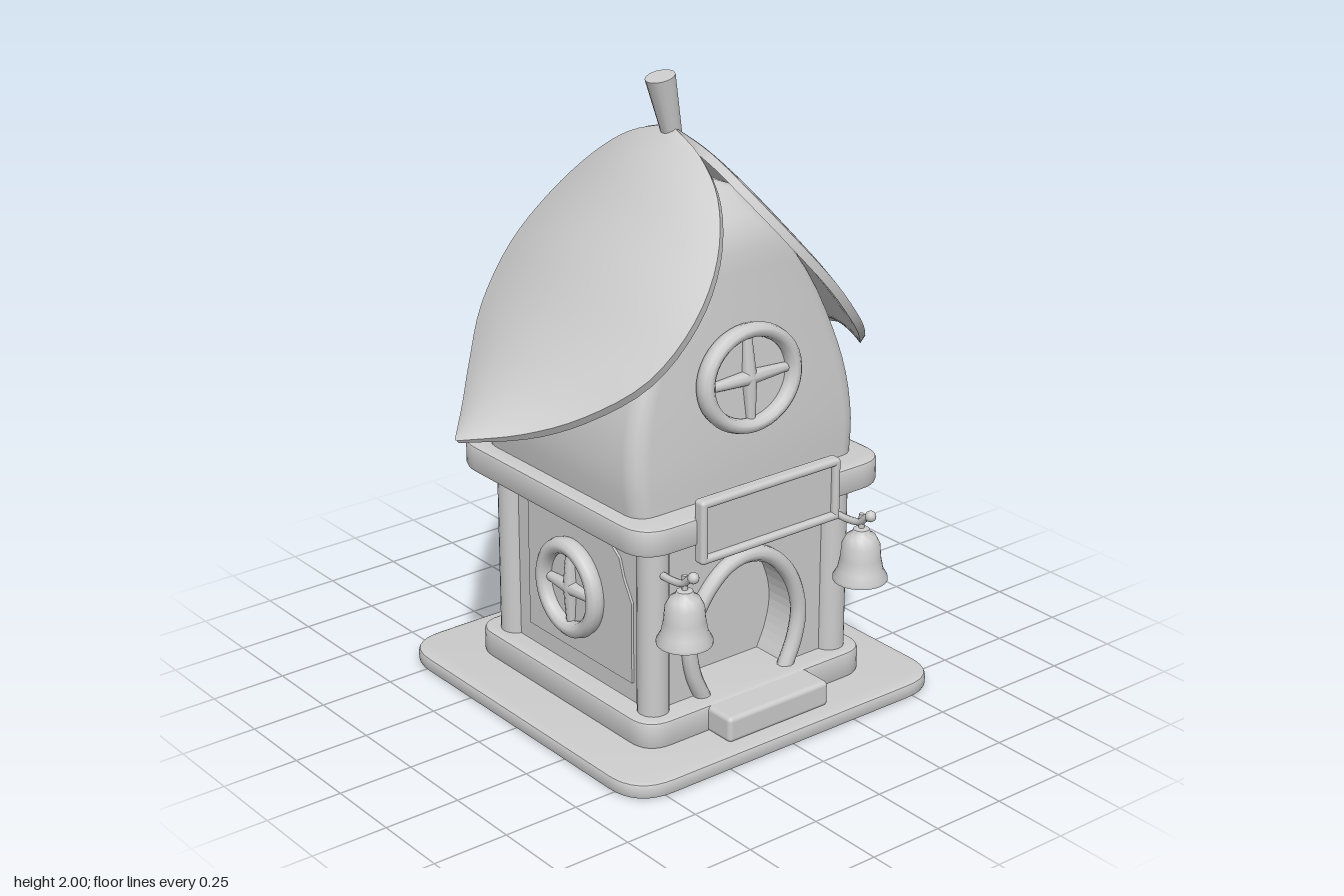
import * as THREE from 'three';
import { RoundedBoxGeometry } from 'three/addons/geometries/RoundedBoxGeometry.js';
import { toCreasedNormals } from 'three/addons/utils/BufferGeometryUtils.js';

const clay = new THREE.MeshStandardMaterial({ color: 0xcccccc });
clay.name = 'pale grey';
const V = (x, y, z = 0) => new THREE.Vector3(x, y, z);

function add(parent, name, geo, x = 0, y = 0, z = 0) {
  const m = new THREE.Mesh(geo, clay);
  m.name = name;
  m.position.set(x, y, z);
  parent.add(m);
  return m;
}

// Horizontal slab with rounded corners and softened edges
function slab(w, d, h, r, b = 0.012) {
  const x = w / 2 - b, y = d / 2 - b, s = new THREE.Shape();
  s.moveTo(-x + r, -y);
  s.lineTo(x - r, -y); s.quadraticCurveTo(x, -y, x, -y + r);
  s.lineTo(x, y - r); s.quadraticCurveTo(x, y, x - r, y);
  s.lineTo(-x + r, y); s.quadraticCurveTo(-x, y, -x, y - r);
  s.lineTo(-x, -y + r); s.quadraticCurveTo(-x, -y, -x + r, -y);
  const g = new THREE.ExtrudeGeometry(s, {
    depth: h - 2 * b, bevelSize: b, bevelThickness: b, bevelSegments: 2, curveSegments: 8 });
  g.rotateX(-Math.PI / 2).translate(0, b, 0);
  return toCreasedNormals(g, 0.6);
}

// Skin over rows of closed loops
function loft(rows, crease) {
  const n = rows[0].length, idx = [];
  for (let i = 0; i < rows.length - 1; i++) for (let j = 0; j < n; j++) {
    const a = i * n + j, b = i * n + (j + 1) % n;
    idx.push(a, b, a + n, b, b + n, a + n);
  }
  const g = new THREE.BufferGeometry().setFromPoints(rows.flat());
  g.setIndex(idx);
  return toCreasedNormals(g, crease);
}

// Upper storey: rounded rectangles that narrow towards the ridge
function upperStorey() {
  const curve = new THREE.CatmullRomCurve3([
    V(0.43, 0.78, 0.395), V(0.44, 0.9, 0.39), V(0.425, 1.05, 0.378), V(0.38, 1.2, 0.365),
    V(0.285, 1.4, 0.35), V(0.15, 1.58, 0.33), V(0.06, 1.69, 0.24)]);
  const rows = [];
  const ring = (w, y, d) => {
    const r = Math.min(0.06, w * 0.5), row = [];
    for (let q = 0; q < 4; q++) for (let k = 0; k <= 4; k++) {
      const a = (q + k / 4) * Math.PI / 2;
      const sx = q === 0 || q === 3 ? 1 : -1, sz = q < 2 ? 1 : -1;
      row.push(V(sx * (w - r) + r * Math.cos(a), y, -sz * (d - r) - r * Math.sin(a)));
    }
    return row;
  };
  for (let i = 0; i <= 18; i++) { const p = curve.getPoint(i / 18); rows.push(ring(p.x, p.y, p.z)); }
  rows.push(ring(0.002, 1.71, 0.15));
  return loft(rows, 0.7);
}

// Roof leaf: centre line and drooping rim, joined by an arched section
function leafGeometry() {
  const mid = new THREE.CatmullRomCurve3([
    V(0, 1.835), V(0.05, 1.79), V(0.12, 1.72), V(0.22, 1.6), V(0.33, 1.47),
    V(0.47, 1.29), V(0.6, 1.15), V(0.7, 1.075), V(0.8, 1.02)]);
  const rim = new THREE.CatmullRomCurve3([
    V(0, 1.835, 0.01), V(0.022, 1.78, 0.17), V(0.06, 1.69, 0.3), V(0.15, 1.55, 0.41), V(0.27, 1.4, 0.457),
    V(0.41, 1.24, 0.42), V(0.55, 1.12, 0.29), V(0.67, 1.055, 0.155), V(0.8, 1.02, 0.005)]);
  const rows = [], N = 16;
  for (let i = 0; i <= 32; i++) {
    const c = mid.getPoint(i / 32), e = rim.getPoint(i / 32), top = [], under = [];
    const th = 0.028 * Math.min(1, 0.4 + (32 - i) / 8);
    for (let j = 0; j <= N; j++) {
      const v = j / N * 2 - 1;
      const p = V(c.x + (e.x - c.x) * v * v, c.y + (e.y - c.y) * v * v, e.z * v);
      top.push(p);
      under.unshift(V(Math.max(p.x - th * 0.6, 0), p.y - th * 0.8, p.z * 0.985));
    }
    rows.push([...top, ...under]);
  }
  return loft(rows, 0.9);
}

// Round window with a cross, facing +z
function roundWindow(rx, ry) {
  const g = new THREE.Group(), t = 0.026;
  g.name = 'roundWindow';
  const ring = add(g, 'windowRing', new THREE.TorusGeometry(1 - t / rx, t / rx, 10, 40));
  ring.scale.set(rx, ry, rx * 1.25);
  const pane = add(g, 'windowPane', new THREE.CylinderGeometry(1, 1, 0.008, 40).rotateX(Math.PI / 2), 0, 0, -0.012);
  pane.scale.set(rx - t, ry - t, 1);
  // bars are thickest where they meet
  for (let k = 0; k < 4; k++) {
    const len = (k % 2 ? rx : ry) - t;
    const bar = new THREE.CylinderGeometry(0.014, 0.025, len, 8).translate(0, len / 2, 0).rotateZ(k * Math.PI / 2);
    add(g, 'windowBar', bar, 0, 0, -0.004);
  }
  return g;
}

// Bell on a curled bracket
function bell() {
  const g = new THREE.Group();
  g.name = 'bell';
  const profile = [[0.001, 0.45], [0.07, 0.435], [0.086, 0.425], [0.086, 0.435], [0.072, 0.46], [0.064, 0.5],
    [0.06, 0.545], [0.046, 0.572], [0.03, 0.582], [0.025, 0.595], [0.001, 0.6]].map(p => new THREE.Vector2(...p));
  add(g, 'bellBody', toCreasedNormals(new THREE.LatheGeometry(profile, 28), 0.7), 0, 0, 0.518);
  add(g, 'clapper', new THREE.SphereGeometry(0.026, 14, 10), 0, 0.44, 0.518);
  add(g, 'bellLoop', new THREE.CylinderGeometry(0.009, 0.009, 0.06, 8), 0, 0.615, 0.518);
  const path = new THREE.CatmullRomCurve3([V(0, 0.605, 0.38), V(0, 0.605, 0.46), V(0, 0.615, 0.51), V(0, 0.64, 0.54), V(0, 0.65, 0.56)]);
  add(g, 'bracket', new THREE.TubeGeometry(path, 20, 0.012, 8));
  add(g, 'bracketKnob', new THREE.SphereGeometry(0.018, 12, 8), 0, 0.65, 0.558);
  return g;
}

export function createModel() {
  const house = new THREE.Group();
  house.name = 'leafRoofHouse';

  // Base, plinth, door step and floor band
  add(house, 'groundSlab', slab(1.23, 1.24, 0.05, 0.13));
  add(house, 'plinth', slab(0.89, 0.91, 0.09, 0.08), 0, 0.045, 0);
  add(house, 'doorStep', new RoundedBoxGeometry(0.4, 0.085, 0.13, 3, 0.015), -0.01, 0.089, 0.492);
  add(house, 'floorBand', slab(0.97, 0.97, 0.088, 0.1), 0, 0.704, 0);

  // Lower storey: solid core and a front wall with a doorway
  add(house, 'lowerCore', new THREE.BoxGeometry(0.74, 0.59, 0.62), 0, 0.42, -0.065);
  const arch = new THREE.CatmullRomCurve3([
    V(-0.175, 0.125), V(-0.215, 0.22), V(-0.228, 0.32), V(-0.19, 0.44), V(-0.1, 0.535), V(-0.01, 0.56),
    V(0.08, 0.535), V(0.17, 0.44), V(0.208, 0.32), V(0.195, 0.22), V(0.155, 0.125)]);
  const wall = new THREE.Shape();
  wall.moveTo(-0.37, 0.125);
  arch.getPoints(40).forEach(p => wall.lineTo(p.x, p.y));
  wall.lineTo(0.37, 0.125); wall.lineTo(0.37, 0.715); wall.lineTo(-0.37, 0.715);
  add(house, 'frontWall', new THREE.ExtrudeGeometry(wall, { depth: 0.13, bevelEnabled: false }), 0, 0, 0.245);
  add(house, 'doorFrame', new THREE.TubeGeometry(arch, 60, 0.026, 10), 0, 0, 0.385);

  // Corner posts
  for (const x of [-0.355, 0.355]) for (const z of [-0.35, 0.366])
    add(house, 'cornerPost', new THREE.CylinderGeometry(0.05, 0.05, 0.6, 20), x, 0.42, z);

  // Worn plaster panels and round windows on the sides and back
  const plaster = new THREE.Shape([[-0.24, 0.2], [0.29, 0.2], [0.29, 0.47], [0.25, 0.54], [0.23, 0.6],
    [0.17, 0.645], [-0.24, 0.645]].map(p => new THREE.Vector2(...p)));
  for (const [angle, out] of [[Math.PI / 2, 0.37], [-Math.PI / 2, 0.37], [Math.PI, 0.375]]) {
    const side = new THREE.Group();
    side.name = 'lowerSide';
    side.rotation.y = angle;
    add(side, 'plasterPanel', new THREE.ExtrudeGeometry(plaster, { depth: 0.008, bevelEnabled: false }), 0, 0, out);
    const win = roundWindow(0.157, 0.165);
    win.position.set(0, 0.42, out + 0.025 + (angle === Math.PI ? 0.02 : 0));
    side.add(win);
    house.add(side);
  }

  // Upper storey with front and back windows
  add(house, 'upperStorey', upperStorey());
  for (const s of [1, -1]) {
    const holder = new THREE.Group(), win = roundWindow(0.195, 0.17);
    holder.name = 'upperWindow';
    win.position.set(-0.01 * s, 1.145, 0.395);
    win.rotation.x = -0.08;
    holder.add(win);
    if (s < 0) holder.rotation.y = Math.PI;
    house.add(holder);
  }

  // Leaf roof and stem
  const leaf = leafGeometry();
  add(house, 'leftLeaf', leaf);
  add(house, 'rightLeaf', leaf).rotation.y = Math.PI;
  const stem = add(house, 'stem', toCreasedNormals(new THREE.CylinderGeometry(0.047, 0.031, 0.19, 14), 0.7), -0.014, 1.896, 0);
  stem.rotation.z = 0.24;

  // Sign board with a raised border
  const sign = new THREE.Group();
  sign.name = 'signBoard';
  sign.position.set(-0.01, 0.75, 0.49);
  add(sign, 'signPanel', new THREE.BoxGeometry(0.52, 0.18, 0.02), 0, 0, -0.006);
  for (const s of [-1, 1]) {
    add(sign, 'signRail', new RoundedBoxGeometry(0.545, 0.026, 0.044, 3, 0.012), 0, s * 0.09, 0);
    add(sign, 'signStile', new RoundedBoxGeometry(0.026, 0.205, 0.044, 3, 0.012), s * 0.26, 0, 0);
  }
  house.add(sign);

  // Bells either side of the door
  for (const x of [-0.355, 0.345]) {
    const b = bell();
    b.position.x = x;
    house.add(b);
  }
  return house;
}
